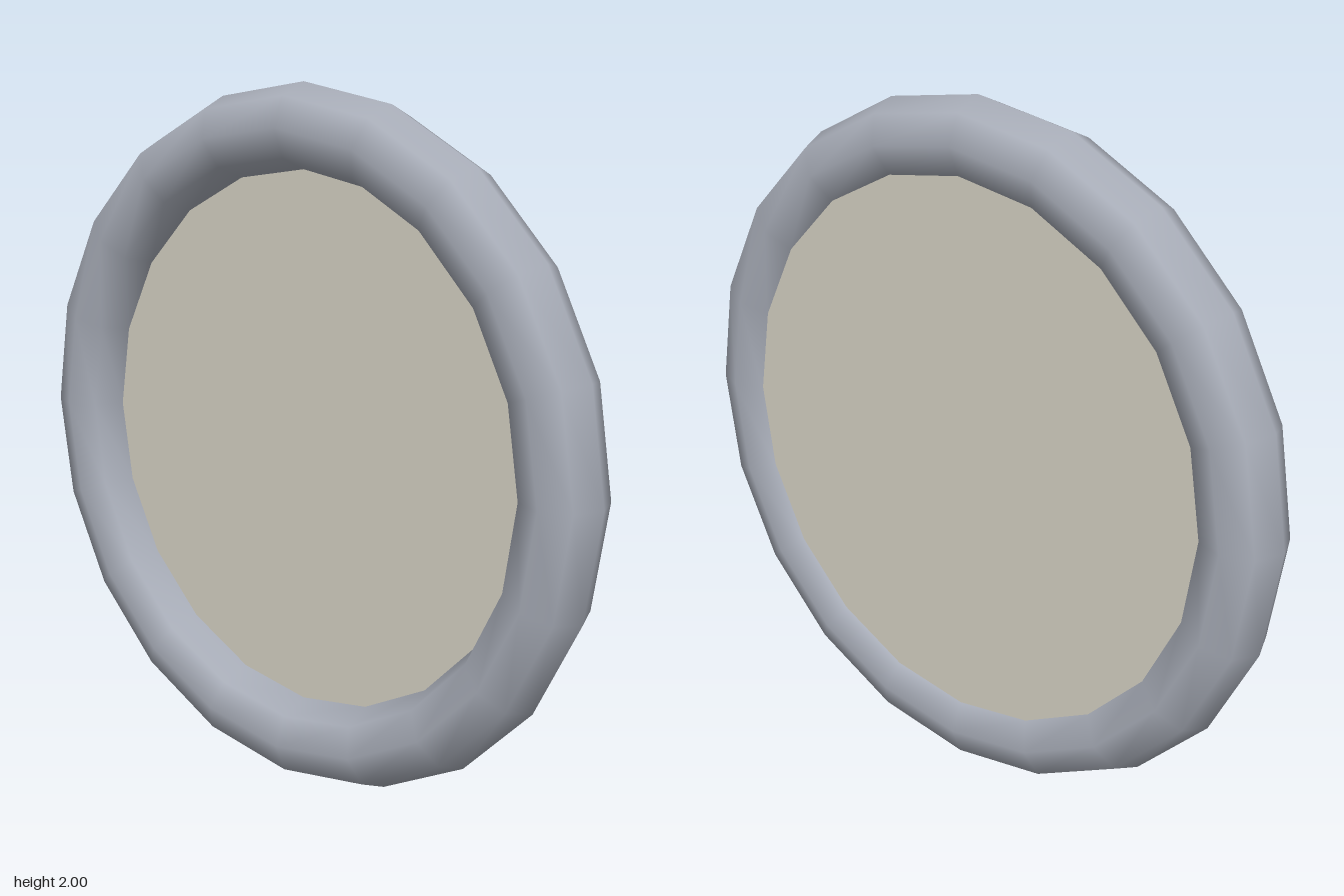
import * as THREE from 'three';

const SIDES = 20;            // segments around the ring
const RING_RADIUS = 0.883;   // centre line of the tube
const TUBE_RADIUS = 0.117;
const PANEL_DEPTH = 0.08;

export function createModel() {
  const model = new THREE.Group();
  model.name = 'framedDisc';

  // Round tubular frame
  const frame = new THREE.Mesh(
    new THREE.TorusGeometry(RING_RADIUS, TUBE_RADIUS, 8, SIDES),
    new THREE.MeshStandardMaterial({ color: 0xa9aeb9 })
  );
  frame.name = 'frame';

  // Flat panel: front face on the ring's mid plane, rim buried in the tube
  const panelGeometry = new THREE.CylinderGeometry(0.85, 0.85, PANEL_DEPTH, SIDES);
  panelGeometry.rotateX(Math.PI / 2);
  panelGeometry.rotateZ(Math.PI / 2);
  const panel = new THREE.Mesh(
    panelGeometry,
    new THREE.MeshStandardMaterial({ color: 0xd6d2c4 })
  );
  panel.name = 'panel';
  panel.position.z = -PANEL_DEPTH / 2;

  model.add(frame, panel);
  for (const part of model.children) part.position.y = RING_RADIUS + TUBE_RADIUS;
  return model;
}
